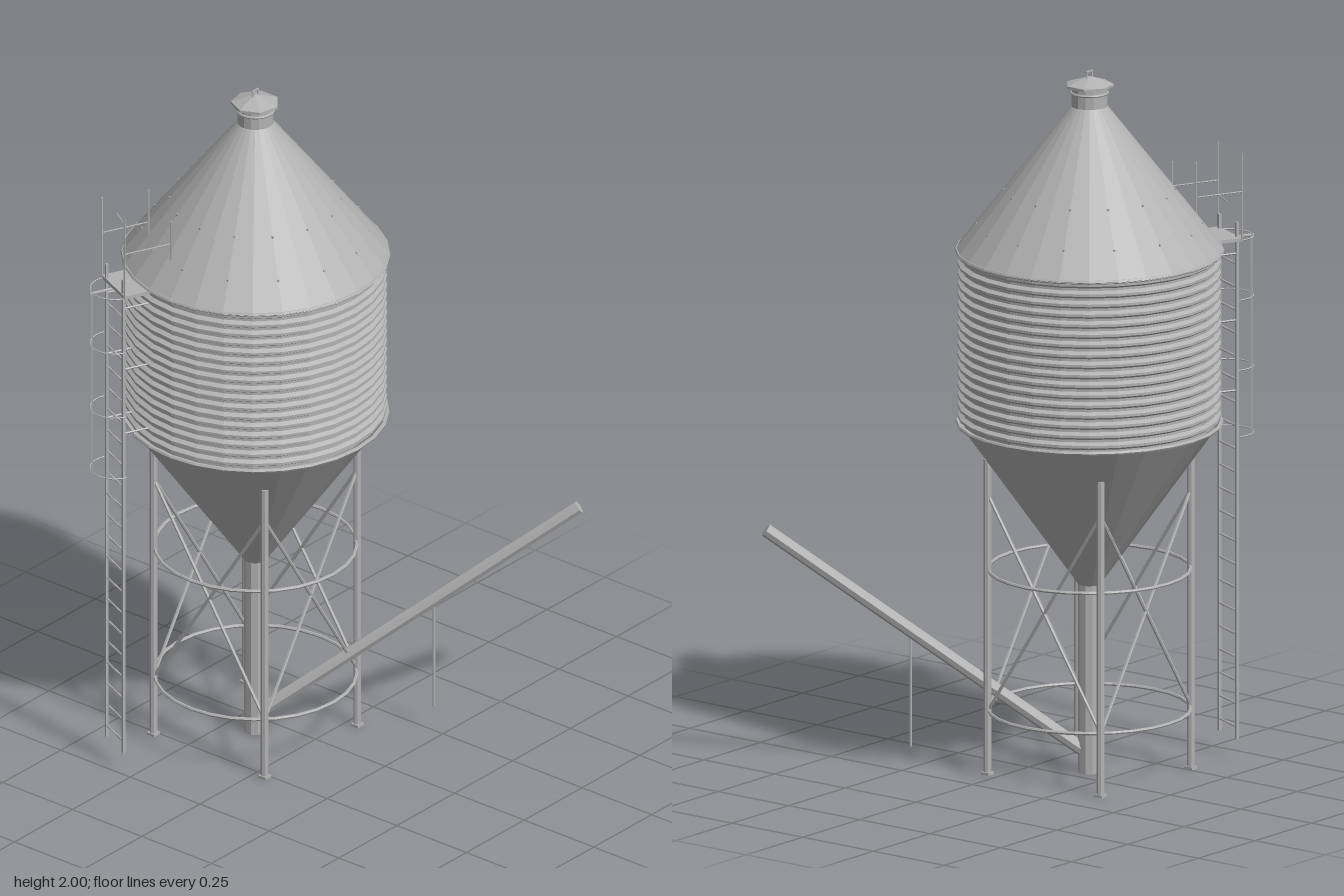
import * as THREE from 'three';

const steel = new THREE.MeshStandardMaterial({ color: 0xb2b2b2, flatShading: true, side: THREE.DoubleSide });
steel.name = 'galvanisedSteel';
const SIDES = 28;
const V = (x, y, z) => new THREE.Vector3(x, y, z);

function add(parent, name, geo, x = 0, y = 0, z = 0) {
  const m = new THREE.Mesh(geo, steel);
  m.name = name;
  m.position.set(x, y, z);
  parent.add(m);
  return m;
}

// Round bar between two points
function bar(parent, name, a, b, r, sides = 6) {
  const d = b.clone().sub(a);
  const m = add(parent, name, new THREE.CylinderGeometry(r, r, d.length(), sides));
  m.position.copy(a).addScaledVector(d, 0.5);
  m.quaternion.setFromUnitVectors(V(0, 1, 0), d.normalize());
  return m;
}

// Horizontal hoop around the silo axis
function hoop(parent, name, y, r, tube) {
  const m = add(parent, name, new THREE.TorusGeometry(r, tube, 6, SIDES), 0, y, 0);
  m.rotation.x = Math.PI / 2;
}

function lathe(parent, name, pts, sides = SIDES) {
  const p = pts.map(([r, y]) => new THREE.Vector2(r, y));
  return add(parent, name, new THREE.LatheGeometry(p, sides, -Math.PI / 2));
}

function buildTank(g) {
  lathe(g, 'hopper', [[0.03, 0.535], [0.36, 1.0]]);
  // Corrugated wall
  const wall = [], ridges = 17, h = 0.49 / ridges;
  for (let i = 0; i < ridges; i++) {
    const y = 1.0 + i * h;
    wall.push([0.352, y], [0.352, y + h * 0.25], [0.364, y + h * 0.5], [0.364, y + h * 0.75]);
  }
  wall.push([0.352, 1.49]);
  lathe(g, 'corrugatedWall', wall);
  lathe(g, 'roof', [[0.352, 1.485], [0.373, 1.487], [0.05, 1.9]]);
  hoop(g, 'lowerRim', 1.0, 0.365, 0.006);
  hoop(g, 'eaveRim', 1.489, 0.367, 0.006);

  // Roof bolts on alternate seams
  for (const r of [0.237, 0.313]) for (let i = 0; i < 14; i++) {
    const a = (i / 14) * Math.PI * 2;
    const y = 1.487 + (0.373 - r) * 0.413 / 0.323;
    add(g, 'roofBolt', new THREE.BoxGeometry(0.005, 0.006, 0.005), -Math.cos(a) * r, y, Math.sin(a) * r);
  }

  // Filler neck with seven-sided lid
  lathe(g, 'fillerNeck', [[0.05, 1.885], [0.05, 1.955]], 14);
  hoop(g, 'neckBand', 1.938, 0.051, 0.004);
  lathe(g, 'lid', [[0, 1.952], [0.068, 1.955], [0.068, 1.962], [0, 1.985]], 7);
  add(g, 'lidHandle', new THREE.BoxGeometry(0.028, 0.004, 0.004), 0, 1.998, 0);
  for (const s of [-1, 1]) add(g, 'handlePost', new THREE.BoxGeometry(0.003, 0.018, 0.003), s * 0.012, 1.988, 0);
}

function buildStand(g) {
  const corners = [[1, 1], [1, -1], [-1, -1], [-1, 1]].map(([x, z]) => V(x * 0.2, 0, z * 0.2));
  corners.forEach((c, i) => {
    const n = corners[(i + 1) % 4];
    bar(g, 'leg', c, c.clone().setY(0.9), 0.011, 8);
    add(g, 'foot', new THREE.BoxGeometry(0.026, 0.008, 0.026), c.x, 0.004, c.z);
    // Crossed braces between neighbouring legs
    bar(g, 'brace', c.clone().setY(0.18), n.clone().setY(0.8), 0.005);
    bar(g, 'brace', n.clone().setY(0.18), c.clone().setY(0.8), 0.005);
  });
  hoop(g, 'lowerHoop', 0.18, 0.28, 0.005);
  hoop(g, 'upperHoop', 0.58, 0.28, 0.005);
  bar(g, 'dischargePipe', V(0, 0, 0), V(0, 0.56, 0), 0.032, 10);
}

function buildAuger(g) {
  bar(g, 'augerTube', V(0.01, 0.06, 0.01), V(0.575, 0.695, 0.685), 0.019, 8);
  bar(g, 'augerSupport', V(0.315, 0.075, 0.38), V(0.315, 0.395, 0.38), 0.004);
}

// Ladder is built facing local +z, then turned to its place
function buildLadder(g) {
  const R = 0.431, half = 0.053;
  for (const s of [-1, 1]) {
    add(g, 'ladderRail', new THREE.BoxGeometry(0.008, 1.475, 0.008), s * half, 0.7925, R);
  }
  for (let i = 0; i < 22; i++) {
    const y = 0.09 + i * 0.066;
    bar(g, 'rung', V(-half, y, R), V(half, y, R), 0.003);
  }
  // Safety cage
  const arc = (a) => [Math.cos(a) * 0.07, R + Math.sin(a) * 0.07];
  for (const y of [0.92, 1.11, 1.31, 1.48]) {
    const pts = [];
    for (let i = 0; i <= 10; i++) {
      const [x, z] = arc((i / 10) * Math.PI);
      pts.push(V(x, y, z));
    }
    add(g, 'cageHoop', new THREE.TubeGeometry(new THREE.CatmullRomCurve3(pts), 14, 0.002, 4));
  }
  for (let i = 1; i <= 3; i++) {
    const [x, z] = arc((i / 4) * Math.PI);
    bar(g, 'cageStrap', V(x, 0.92, z), V(x, 1.48, z), 0.0018, 4);
  }
  // Wall brackets
  for (const y of [1.05, 1.25, 1.44]) for (const s of [-1, 1]) {
    bar(g, 'wallBracket', V(s * half, y, 0.345), V(s * half, y, R), 0.003, 4);
  }
  // Platform, its support bar and guard rails
  add(g, 'platform', new THREE.BoxGeometry(0.144, 0.01, 0.08), 0, 1.483, 0.397);
  bar(g, 'platformBar', V(-0.008, 1.475, 0.377), V(-0.008, 1.475, 0.506), 0.004);
  for (const s of [-1, 1]) {
    const x = s * 0.072;
    bar(g, 'outerPost', V(x, 1.48, 0.437), V(x, 1.73, 0.437), 0.003, 5);
    bar(g, 'innerPost', V(x, 1.57, 0.294), V(x, s < 0 ? 1.72 : 1.69, 0.294), 0.003, 5);
    bar(g, 'handRail', V(x, 1.62, 0.294), V(x, 1.62, 0.437), 0.002, 5);
  }
  bar(g, 'sideRail', V(-0.078, 1.62, 0.361), V(-0.155, 1.62, 0.349), 0.002, 5);
}

export function createModel() {
  const model = new THREE.Group();
  model.name = 'hopperSilo';
  const parts = { tank: buildTank, stand: buildStand, auger: buildAuger, ladder: buildLadder };
  for (const [name, build] of Object.entries(parts)) {
    const g = new THREE.Group();
    g.name = name;
    g.position.set(-0.064, 0, -0.163);
    build(g);
    if (name === 'ladder') g.rotation.y = Math.atan2(-0.912, -0.41);
    model.add(g);
  }
  return model;
}
